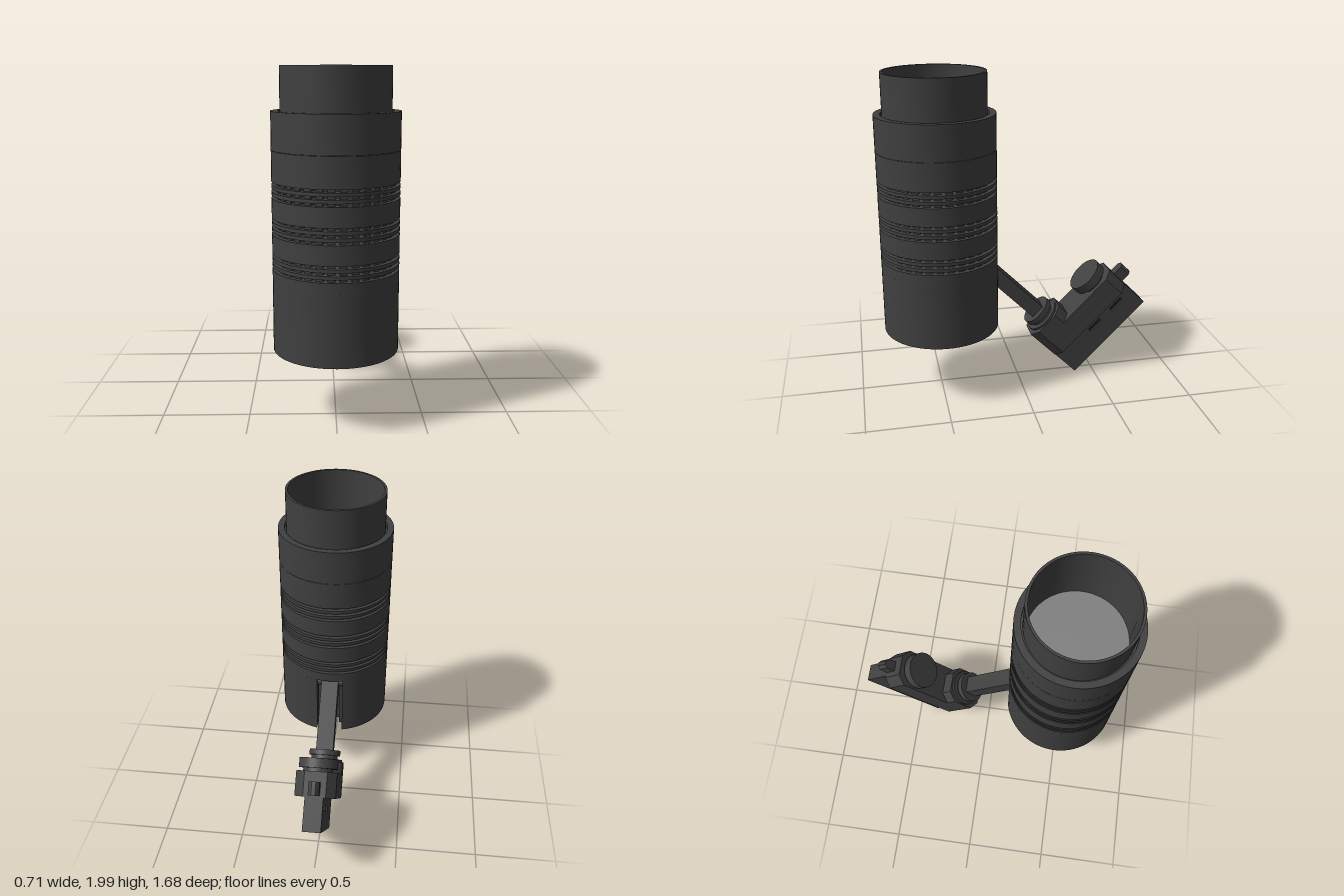
import * as THREE from 'three';
import { toCreasedNormals } from 'three/addons/utils/BufferGeometryUtils.js';

const dark = new THREE.MeshStandardMaterial({ color: 0x404040 });
const black = new THREE.MeshStandardMaterial({ color: 0x1c1c1c });
const glass = new THREE.MeshStandardMaterial({ color: 0x808080 });

function add(parent, name, geometry, x = 0, y = 0, z = 0, material = dark) {
  const mesh = new THREE.Mesh(geometry, material);
  mesh.name = name;
  mesh.position.set(x, y, z);
  parent.add(mesh);
  return mesh;
}

// Hollow ring with a rectangular section; gap is half the angle left open at the back
function ring(rOut, rIn, y0, y1, gap = 0) {
  const profile = [[rOut, y0], [rOut, y1], [rIn, y1], [rIn, y0], [rOut, y0]]
    .map(([r, y]) => new THREE.Vector2(r, y));
  return toCreasedNormals(
    new THREE.LatheGeometry(profile, 64, Math.PI + gap, 2 * Math.PI - 2 * gap), 0.5);
}

const box = (w, h, d) => new THREE.BoxGeometry(w, h, d);
const disc = (r, h) => new THREE.CylinderGeometry(r, r, h, 40);

// Slab with chamfered corners, lying flat, its top at y = 0
function chamferedSlab(halfW, z0, z1, c, h) {
  const s = new THREE.Shape([
    [-halfW + c, z0], [halfW - c, z0], [halfW, z0 + c], [halfW, z1 - c],
    [halfW - c, z1], [-halfW + c, z1], [-halfW, z1 - c], [-halfW, z0 + c],
  ].map(([x, z]) => new THREE.Vector2(x, z)));
  return new THREE.ExtrudeGeometry(s, { depth: h, bevelEnabled: false }).rotateX(Math.PI / 2);
}

// Perforated bottom plate with a notch for the arm slot
function ventPlate(r, notchHalf, notchZ) {
  const a = Math.asin(notchHalf / r);
  const s = new THREE.Shape();
  s.absarc(0, 0, r, -Math.PI / 2 + a, 1.5 * Math.PI - a, false);
  s.lineTo(-notchHalf, notchZ);
  s.lineTo(notchHalf, notchZ);
  s.closePath();
  for (let k = 0; k <= 6; k++) {
    const count = Math.max(1, 6 * k);
    for (let i = 0; i < count; i++) {
      const t = (i / count) * 2 * Math.PI;
      const x = 0.045 * k * Math.cos(t), y = 0.045 * k * Math.sin(t);
      if (y < notchZ - 0.02 + 0.04 && Math.abs(x) < notchHalf + 0.02) continue;
      s.holes.push(new THREE.Path().absarc(x, y, 0.009, 0, 2 * Math.PI, true));
    }
  }
  return new THREE.ExtrudeGeometry(s, { depth: 0.02, bevelEnabled: false, curveSegments: 24 })
    .rotateX(Math.PI / 2);
}

function createLamp() {
  const lamp = new THREE.Group();
  lamp.name = 'lampBody';
  lamp.position.z = 0.485;
  const R = 0.355, slotHalf = 0.0825;

  // Housing: slotted lower shell and plain bands
  add(lamp, 'lowerShell', ring(R, 0.335, 0.42, 0.83, Math.asin(slotHalf / R)));
  for (const [y0, y1] of [[0.83, 0.89], [0.98, 1.09], [1.18, 1.29], [1.38, 1.55]]) {
    add(lamp, 'housingBand', ring(R, 0.29, y0, y1));
  }

  // Cooling slits: two thin fins per group, held by inner posts
  for (const y of [0.89, 1.09, 1.29]) {
    for (const dy of [0.0167, 0.0534]) {
      add(lamp, 'coolingFin', ring(R, 0.29, y + dy, y + dy + 0.02));
    }
    for (let i = 0; i < 32; i++) {
      const t = ((i + 0.5) / 32) * 2 * Math.PI;
      const post = add(lamp, 'coolingPost', box(0.04, 0.09, 0.03),
        0.315 * Math.sin(t), y + 0.045, 0.315 * Math.cos(t));
      post.rotation.y = t;
    }
  }

  // Collar, snoot tube and lens
  add(lamp, 'collar', ring(R, 0.315, 1.552, 1.76));
  add(lamp, 'collarFloor', ring(0.32, 0.29, 1.66, 1.74));
  add(lamp, 'snoot', ring(0.305, 0.29, 1.5, 2));
  add(lamp, 'lens', disc(0.291, 0.02), 0, 1.55, 0, glass);

  // Bottom plate and the pocket behind the arm slot
  add(lamp, 'ventPlate', ventPlate(0.336, slotHalf, -0.23), 0, 0.45, 0);
  for (const s of [-1, 1]) {
    add(lamp, 'slotSide', box(0.012, 0.4, 0.115), s * (slotHalf + 0.006), 0.63, -0.2825);
    add(lamp, 'slotRail', box(0.02, 0.38, 0.03), s * 0.07, 0.63, -0.28);
  }
  add(lamp, 'slotBack', box(0.19, 0.4, 0.012), 0, 0.63, -0.226);
  add(lamp, 'slotTop', box(0.19, 0.012, 0.115), 0, 0.832, -0.2825);
  return lamp;
}

// Tilted mount: local y runs up the arm, local -z along the adapter
function createMount() {
  const mount = new THREE.Group();
  mount.name = 'trackMount';
  mount.rotation.x = Math.PI / 4;

  // Arm with its hinge pin and swivel collar
  add(mount, 'arm', box(0.11, 0.5, 0.09), 0, 0.475, -0.414);
  add(mount, 'hingePin', disc(0.025, 0.165).rotateZ(Math.PI / 2), 0, 0.69, -0.414);
  add(mount, 'swivelCollar', disc(0.1, 0.035), 0, 0.222, -0.41);
  add(mount, 'swivelNeck', disc(0.085, 0.06), 0, 0.18, -0.41);
  add(mount, 'swivelBase', disc(0.115, 0.02), 0, 0.172, -0.41);

  // Adapter: wide upper housing with a raised end
  add(mount, 'adapterHousing', chamferedSlab(0.122, -0.924, -0.276, 0.055, 0.15), 0, 0.09, 0);
  add(mount, 'adapterRaisedEnd', chamferedSlab(0.122, -0.535, -0.276, 0.055, 0.08), 0, 0.168, 0);

  // Narrow track insert with contact windows on both sides
  const insert = new THREE.Shape([[0.276, -0.26], [0.924, -0.26], [0.924, -0.06], [0.276, -0.06]]
    .map(([u, v]) => new THREE.Vector2(u, v)));
  for (const u of [0.595, 0.79]) {
    insert.holes.push(new THREE.Path([[-0.05, -0.012], [-0.05, 0.012], [0.05, 0.012], [0.05, -0.012]]
      .map(([du, dv]) => new THREE.Vector2(u + du, -0.125 + dv))));
  }
  const insertGeometry = new THREE.ExtrudeGeometry(insert, { depth: 0.11, bevelEnabled: false });
  add(mount, 'trackInsert', insertGeometry.rotateY(Math.PI / 2), -0.055, 0, 0);
  add(mount, 'contactCore', box(0.08, 0.06, 0.4), 0, -0.125, -0.69, black);

  // Turning knob and release tab
  add(mount, 'knob', disc(0.117, 0.058), 0, 0.14, -0.79);
  add(mount, 'knobNeck', disc(0.09, 0.04), 0, 0.1, -0.79);
  add(mount, 'releaseTab', chamferedSlab(0.032, -1.005, -0.9, 0.02, 0.08), 0, 0.03, 0);
  return mount;
}

export function createModel() {
  const model = new THREE.Group();
  model.name = 'trackSpotlight';
  model.add(createLamp(), createMount());
  return model;
}
